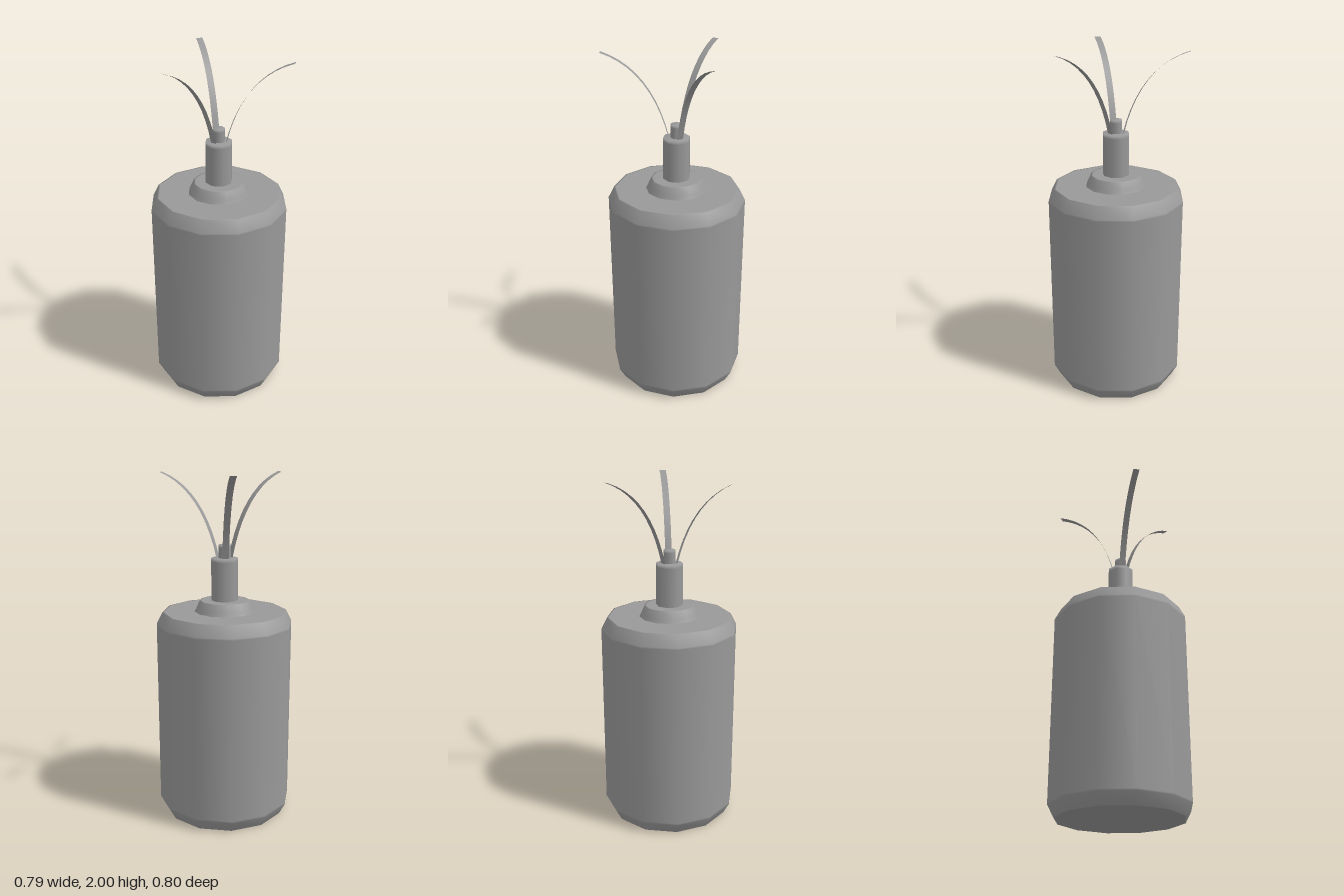
import * as THREE from 'three';

const CENTER_Z = 0.005;

export function createModel() {
  const model = new THREE.Group();
  model.name = 'canister';
  const metal = new THREE.MeshStandardMaterial({ color: 0x999999, side: THREE.DoubleSide });
  metal.name = 'grey metal';

  // Turned part from [radius, height] pairs, listed bottom to top
  function turned(name, sides, profile) {
    const points = profile.map(([r, y]) => new THREE.Vector2(r, y));
    const mesh = new THREE.Mesh(new THREE.LatheGeometry(points, sides), metal);
    mesh.name = name;
    mesh.position.z = CENTER_Z;
    model.add(mesh);
  }

  // Chamfered body; the extra rings keep the caps and wall flat in shading
  turned('body', 12, [
    [0, 0], [0.35, 0], [0.36, 0], [0.394, 0.065], [0.394, 0.075],
    [0.394, 1.145], [0.394, 1.155], [0.36, 1.222], [0.35, 1.222], [0, 1.222],
  ]);
  turned('collar', 12, [[0.176, 1.22], [0.165, 1.24], [0.145, 1.285], [0.135, 1.286], [0, 1.286]]);
  turned('stem', 8, [[0.077, 1.28], [0.077, 1.51], [0.077, 1.53], [0, 1.53]]);
  turned('pin', 8, [[0.035, 1.52], [0.035, 1.59], [0.035, 1.605], [0, 1.605]]);

  // Thin curved strip: runs outward along +x and bends from upright to nearly level
  const curve = new THREE.QuadraticBezierCurve(
    new THREE.Vector2(0.042, 1.525),
    new THREE.Vector2(0.135, 1.91),
    new THREE.Vector2(0.406, 2.0),
  );
  const steps = 10;
  const strip = new THREE.PlaneGeometry(1, 0.037, steps, 1);
  const pos = strip.attributes.position;
  for (let i = 0; i < pos.count; i++) {
    const p = curve.getPoint(pos.getX(i) + 0.5);
    pos.setXYZ(i, p.x, p.y, -pos.getY(i));
  }
  strip.computeVertexNormals();

  // Three strips: one to the back, one to each front side
  const angles = { backProng: Math.PI / 2, leftProng: -0.545, rightProng: Math.PI + 0.545 };
  for (const [name, angle] of Object.entries(angles)) {
    const prong = new THREE.Mesh(strip, metal);
    prong.name = name;
    prong.position.z = CENTER_Z;
    prong.rotation.y = angle;
    model.add(prong);
  }
  return model;
}
